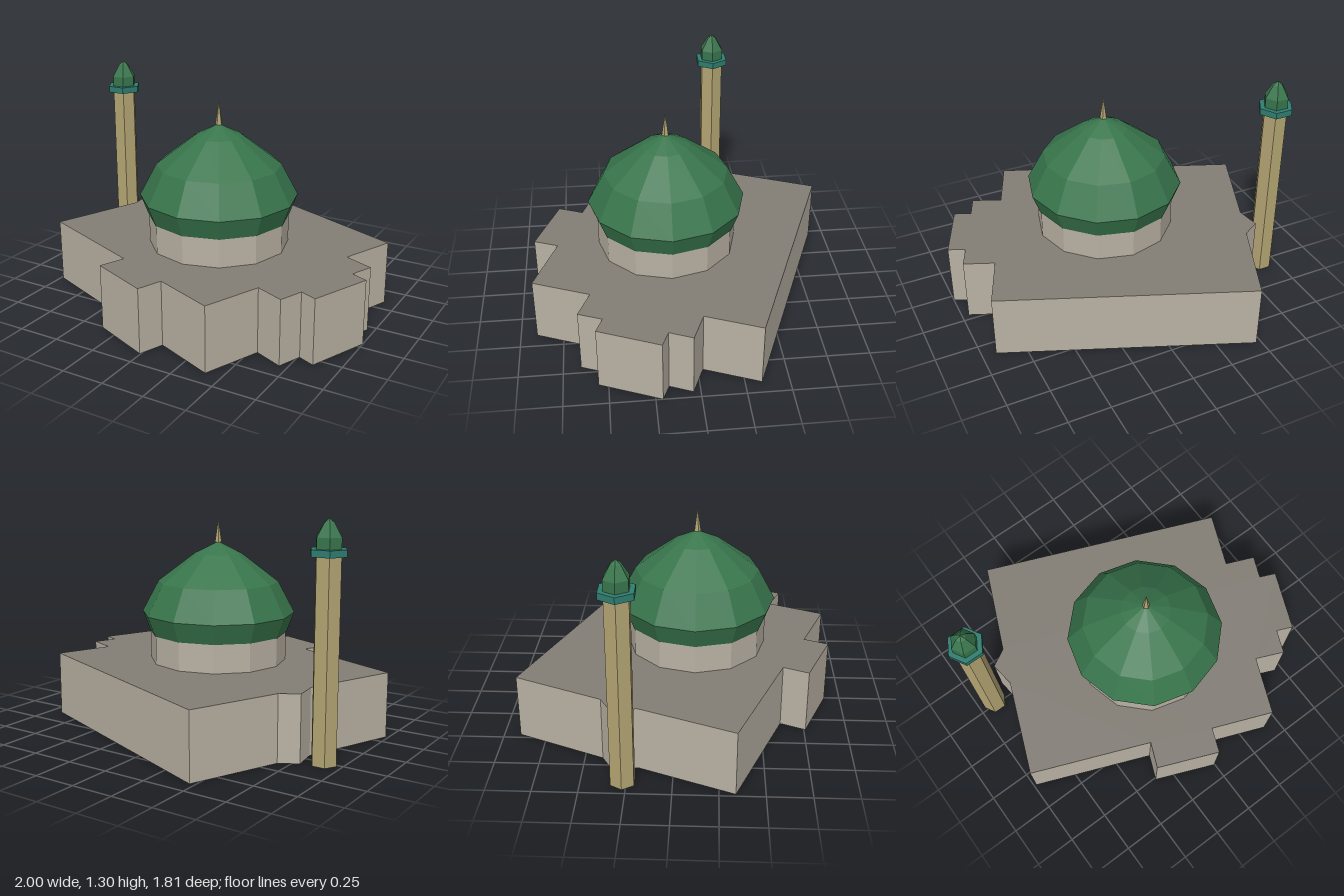
import * as THREE from 'three';

const mat = (name, color, side = THREE.FrontSide) => {
  const m = new THREE.MeshStandardMaterial({ color, flatShading: true, side });
  m.name = name;
  return m;
};

const H = 0.385; // roof height

// Stepped plan of the prayer hall as [x, z], clockwise seen from above
const PLAN = [
  [-0.47, -0.905], [0.92, -0.345], [0.79, -0.03], [0.96, 0.04], [0.905, 0.17],
  [1.0, 0.21], [0.855, 0.555], [0.76, 0.515], [0.705, 0.65], [0.54, 0.58],
  [0.405, 0.905], [0.05, 0.765], [-0.005, 0.905], [-0.36, 0.76], [-0.30, 0.615],
  [-0.985, 0.34], [-0.77, -0.195], [-0.79, -0.34], [-0.685, -0.40],
];

// One upright quad per plan edge; the underside stays open
function wallGeometry(plan, h) {
  const pos = [];
  plan.forEach(([ax, az], i) => {
    const [bx, bz] = plan[(i + 1) % plan.length];
    pos.push(ax, 0, az, ax, h, az, bx, h, bz, ax, 0, az, bx, h, bz, bx, 0, bz);
  });
  const g = new THREE.BufferGeometry();
  g.setAttribute('position', new THREE.Float32BufferAttribute(pos, 3));
  g.computeVertexNormals();
  return g;
}

// Faceted turned part from [radius, y] pairs, bottom to top
const turned = (profile, sides, start = 0) =>
  new THREE.LatheGeometry(profile.map(([r, y]) => new THREE.Vector2(r, y)), sides, start);

export function createModel() {
  const model = new THREE.Group();
  model.name = 'domedBuilding';

  const stone = mat('stone', 0xb9b1a3, THREE.DoubleSide);
  const roofGrey = mat('roofGrey', 0x827d75, THREE.DoubleSide);
  const green = mat('domeGreen', 0x38754c, THREE.DoubleSide);
  const sand = mat('sand', 0xb3a473);
  const teal = mat('teal', 0x2f7d70);

  const add = (parent, name, geometry, material, x = 0, y = 0, z = 0) => {
    const mesh = new THREE.Mesh(geometry, material);
    mesh.name = name;
    mesh.position.set(x, y, z);
    parent.add(mesh);
  };

  // Hall
  add(model, 'walls', wallGeometry(PLAN, H), stone);
  const roof = new THREE.ShapeGeometry(
    new THREE.Shape(PLAN.map(([x, z]) => new THREE.Vector2(x, -z))));
  roof.rotateX(-Math.PI / 2);
  add(model, 'roof', roof, roofGrey, 0, H, 0);

  // Drum, dome and finial
  const dome = new THREE.Group();
  dome.name = 'domeGroup';
  dome.position.set(0.03, 0, 0.107);
  model.add(dome);
  add(dome, 'drum', turned([[0.41, H], [0.41, 0.56]], 12), stone);
  add(dome, 'dome', turned(
    [[0.415, 0.555], [0.46, 0.675], [0.362, 0.86], [0.14, 1.03], [0, 1.1]], 12), green);
  add(dome, 'finial', new THREE.ConeGeometry(0.021, 0.14, 5), sand, 0, 1.165, 0);

  // Minaret
  const minaret = new THREE.Group();
  minaret.name = 'minaret';
  minaret.position.set(-0.895, 0, -0.27);
  model.add(minaret);
  const hex = (r, h) => new THREE.CylinderGeometry(r, r, h, 6, 1, false, Math.PI / 2);
  add(minaret, 'shaft', hex(0.074, 1.115), sand, 0, 0.5575, 0);
  add(minaret, 'balcony', hex(0.105, 0.038), teal, 0, 1.131, 0);
  add(minaret, 'cap', turned(
    [[0.074, 1.15], [0.074, 1.21], [0.03, 1.283], [0, 1.305]], 6, Math.PI / 2), green);

  return model;
}
